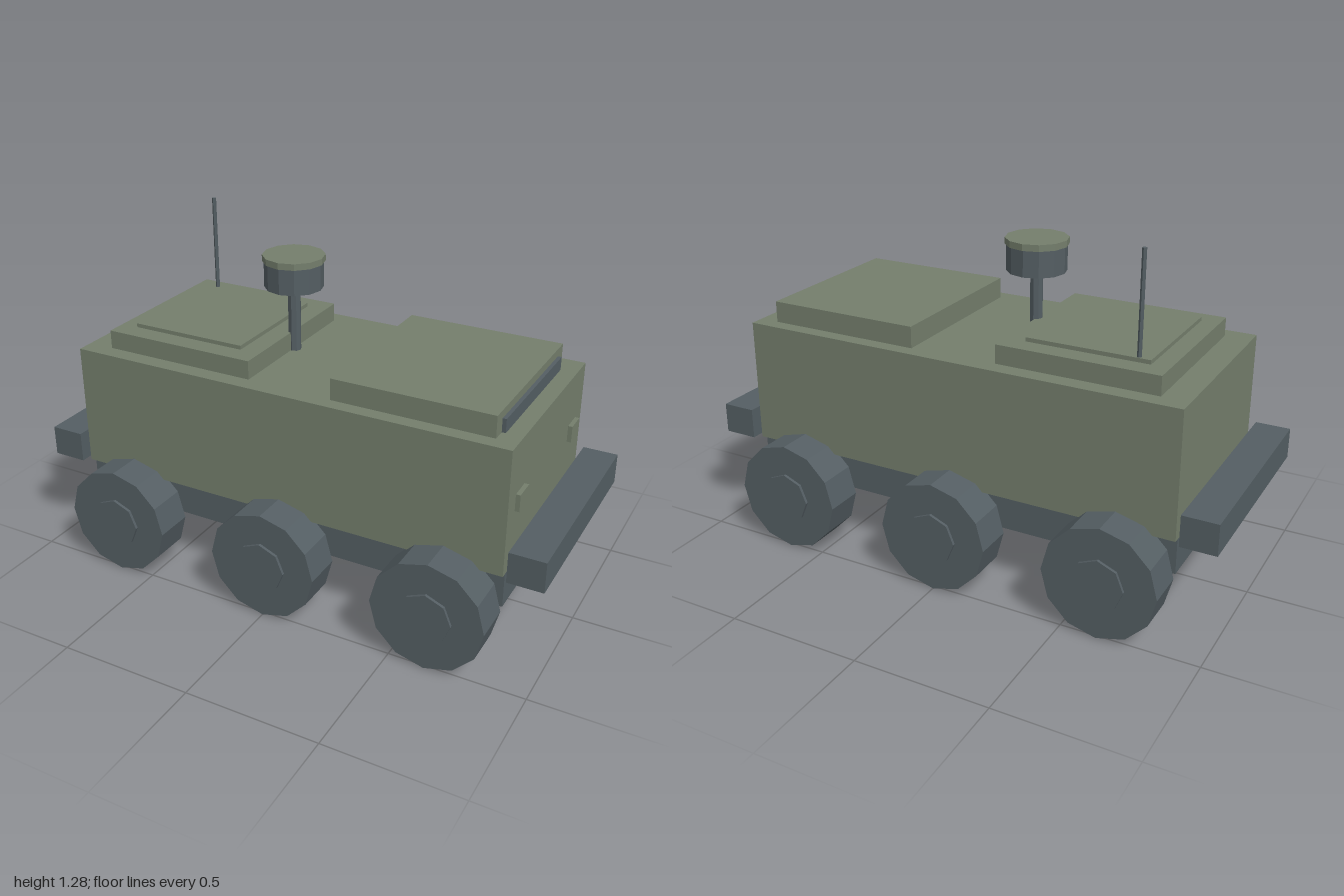
import * as THREE from 'three';

export function createModel() {
  const model = new THREE.Group();
  model.name = 'armouredVehicle';

  const green = new THREE.MeshStandardMaterial({ color: 0x747e6c, flatShading: true });
  green.name = 'olive green';
  const grey = new THREE.MeshStandardMaterial({ color: 0x545e63, flatShading: true });
  grey.name = 'slate grey';

  function add(name, geometry, material, x, y, z, parent = model) {
    const mesh = new THREE.Mesh(geometry, material);
    mesh.name = name;
    mesh.position.set(x, y, z);
    parent.add(mesh);
    return mesh;
  }

  // Box given by its limits in x and y, and its centre and width in z
  function box(name, material, x0, x1, y0, y1, width, z = 0) {
    return add(name, new THREE.BoxGeometry(x1 - x0, y1 - y0, width), material,
      (x0 + x1) / 2, (y0 + y1) / 2, z);
  }

  // Upright cylinder from y0 to y1
  function post(name, material, radius, sides, y0, y1, x, z) {
    return add(name, new THREE.CylinderGeometry(radius, radius, y1 - y0, sides), material,
      x, (y0 + y1) / 2, z);
  }

  // Hull and chassis
  box('chassis', grey, -0.848, 0.848, 0.225, 0.362, 0.716);
  box('hull', green, -0.85, 0.85, 0.36, 0.828, 0.766);

  // Roof: cab with window, rear hatch with raised lid
  box('cabRoof', green, 0.18, 0.775, 0.828, 0.908, 0.66);
  box('window', grey, 0.775, 0.789, 0.828, 0.878, 0.56);
  box('hatchBase', green, -0.75, -0.15, 0.828, 0.898, 0.64);
  box('hatchLid', green, -0.683, -0.228, 0.898, 0.913, 0.49);

  // Sensor mast and antenna
  post('mast', grey, 0.024, 8, 0.828, 1.08, -0.145, 0);
  post('sensorDrum', grey, 0.109, 12, 1.075, 1.172, -0.145, 0);
  post('sensorCap', green, 0.115, 12, 1.172, 1.196, -0.145, 0);
  post('antenna', grey, 0.008, 6, 0.91, 1.28, -0.638, -0.235);

  // Bumpers at both ends
  for (const s of [-1, 1]) {
    add(s > 0 ? 'frontBumper' : 'rearBumper', new THREE.BoxGeometry(0.13, 0.115, 0.816), grey,
      s * 0.935, 0.418, 0);
  }

  // Headlamps
  for (const s of [-1, 1]) box('headlamp', green, 0.85, 0.866, 0.575, 0.638, 0.082, s * 0.274);

  // Six wheels, each with a hub on the outside
  const tyre = new THREE.CylinderGeometry(0.208, 0.208, 0.15, 12).rotateX(Math.PI / 2);
  const hub = new THREE.CylinderGeometry(0.095, 0.095, 0.03, 8).rotateX(Math.PI / 2);
  for (const x of [-0.637, 0, 0.637]) {
    for (const s of [-1, 1]) {
      const wheel = new THREE.Group();
      wheel.name = 'wheel';
      wheel.position.set(x, 0.208, s * 0.439);
      add('tyre', tyre, grey, 0, 0, 0, wheel);
      add('hub', hub, grey, 0, 0, s * 0.071, wheel);
      model.add(wheel);
    }
  }

  return model;
}
